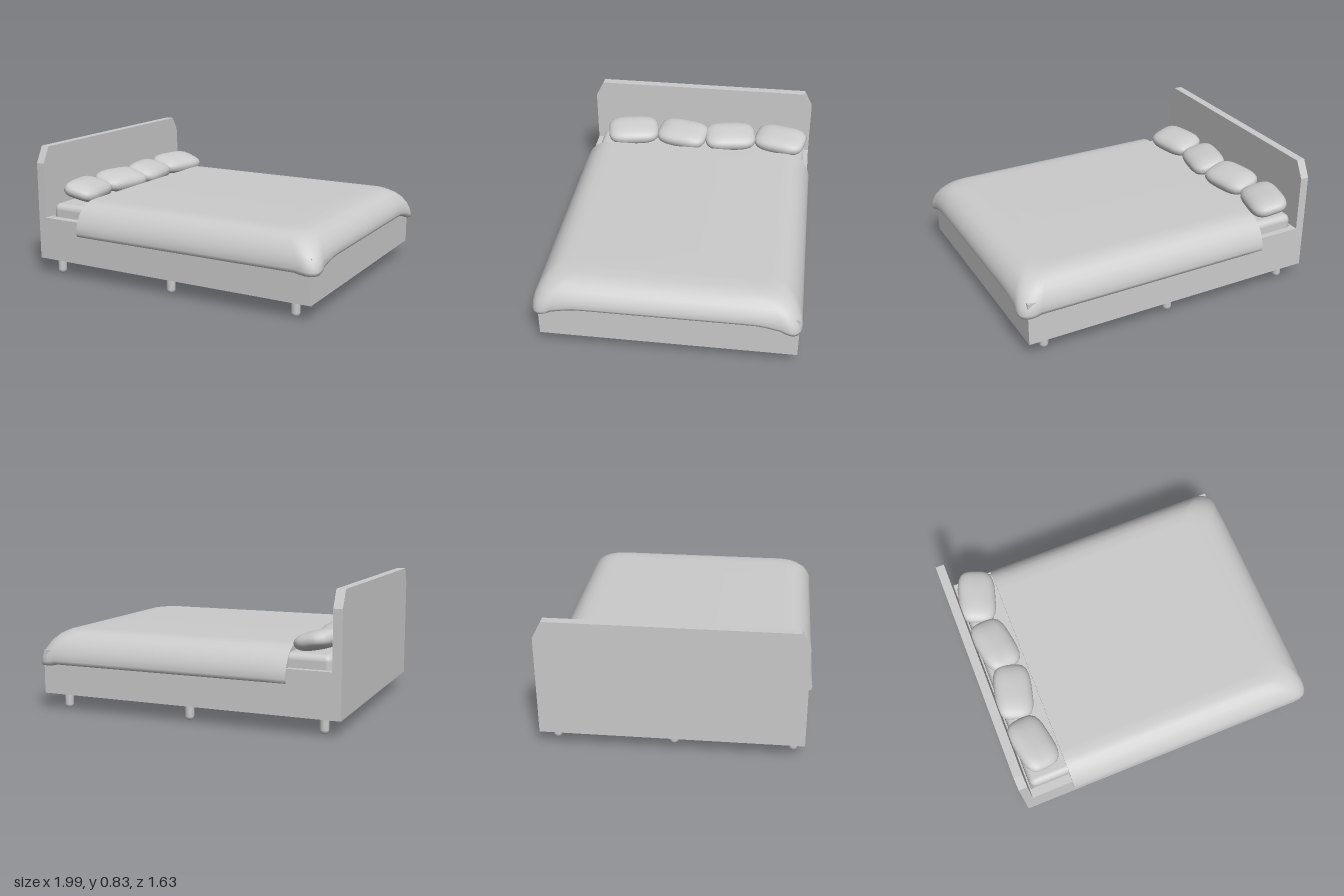
import * as THREE from 'three';
import { mergeVertices } from 'three/addons/utils/BufferGeometryUtils.js';
import { RoundedBoxGeometry } from 'three/addons/geometries/RoundedBoxGeometry.js';

const material = new THREE.MeshStandardMaterial({ color: 0xcccccc, side: THREE.DoubleSide });
const Z0 = -0.01; // centre line of the frame
const HALF = 0.787; // half width of the frame

function add(parent, name, geometry, x = 0, y = 0, z = 0) {
  const mesh = new THREE.Mesh(geometry, material);
  mesh.name = name;
  mesh.position.set(x, y, z);
  parent.add(mesh);
  return mesh;
}

// Panel across the head end, with its two top corners cut off
function headboardGeometry() {
  const shape = new THREE.Shape([
    [-HALF, 0.1], [HALF, 0.1], [HALF, 0.73], [HALF - 0.055, 0.835], [-HALF + 0.055, 0.835], [-HALF, 0.73],
  ].map(([z, y]) => new THREE.Vector2(z, y)));
  const geometry = new THREE.ExtrudeGeometry(shape, { depth: 0.055, bevelEnabled: false });
  return geometry.rotateY(Math.PI / 2);
}

// Four rails round an open middle
function railsGeometry() {
  const rect = (x0, x1, w) => [[x0, -w], [x1, -w], [x1, w], [x0, w]].map(([x, z]) => new THREE.Vector2(x, z));
  const shape = new THREE.Shape(rect(-0.945, 0.94, HALF));
  shape.holes.push(new THREE.Path(rect(-0.935, 0.885, HALF - 0.055)));
  const geometry = new THREE.ExtrudeGeometry(shape, { depth: 0.275, bevelEnabled: false });
  return geometry.rotateX(-Math.PI / 2);
}

// Cushion: a sphere squared off in plan, thinning towards its edge
function pillowGeometry(hx, hy, hz) {
  const sphere = new THREE.SphereGeometry(1, 32, 20);
  sphere.deleteAttribute('uv');
  sphere.deleteAttribute('normal');
  const geometry = mergeVertices(sphere);
  const p = geometry.attributes.position;
  for (let i = 0; i < p.count; i++) {
    const y = p.getY(i);
    const angle = Math.atan2(p.getZ(i), p.getX(i));
    const c = Math.cos(angle), s = Math.sin(angle);
    const square = (Math.abs(c) ** 3.6 + Math.abs(s) ** 3.6) ** (-1 / 3.6);
    const reach = Math.hypot(p.getX(i), p.getZ(i)) ** 0.75 * square;
    p.setXYZ(i, c * reach * hx, Math.sign(y) * Math.abs(y) ** 0.85 * hy, s * reach * hz);
  }
  geometry.computeVertexNormals();
  return geometry;
}

const HEAD = -0.675, FOOT = 0.98, WIDE = 0.812, CORNER = 0.12;

// U-shaped line round the two sides and the foot, at a given inset
function duvetPath(inset) {
  const w = WIDE - inset, x1 = FOOT - inset - CORNER;
  const half = [];
  for (let i = 0; i < 12; i++) half.push([HEAD + (x1 - HEAD) * i / 12, w, 0]);
  for (let i = 0; i <= 8; i++) {
    const a = Math.PI / 2 * i / 8;
    half.push([x1 + CORNER * Math.sin(a), w - CORNER + CORNER * Math.cos(a), Math.sin(2 * a)]);
  }
  for (let i = 1; i < 10; i++) half.push([FOOT - inset, (w - CORNER) * (1 - i / 10), 0]);
  const mirrored = half.map(([x, z, c]) => [x, -z, c]).reverse();
  return [...half, [FOOT - inset, 0, 0], ...mirrored];
}

// Height of the hem: low on the sides, lowest at the corners, raised along the foot
function hemHeight(x, z, corner) {
  const foot = THREE.MathUtils.smoothstep(x, 0.8, 0.94);
  const middle = 1 - THREE.MathUtils.smoothstep(Math.abs(z), 0.52, 0.8);
  return 0.285 + 0.045 * foot * middle - 0.015 * corner;
}

// Rings from the tucked underside, round the hem, up to the flat top
function duvetGeometries() {
  const profile = [ // inset, height from hem (0) to top (1)
    [0.08, 0.12], [0.045, 0.03], [0.022, 0], [0.006, 0.03], [0, 0.13], [0.005, 0.3],
    [0.018, 0.48], [0.042, 0.67], [0.075, 0.83], [0.115, 0.94], [0.16, 0.985], [0.22, 1],
  ];
  const positions = [], index = [], contour = [];
  let n = 0;
  profile.forEach(([inset, t]) => {
    const path = duvetPath(inset);
    n = path.length;
    path.forEach(([x, z, corner]) => {
      const hem = hemHeight(x, z, corner);
      const flare = 0.025 * corner * (1 - t);
      positions.push(x + flare, hem + (0.5 - hem) * t, z + Math.sign(z) * flare * 0.6);
    });
  });
  for (let k = 0; k < profile.length - 1; k++) {
    for (let i = 0; i < n - 1; i++) {
      const a = k * n + i, b = a + 1, c = a + n, d = c + 1;
      index.push(a, b, c, b, d, c);
    }
  }
  const top = (profile.length - 1) * n;
  for (let i = 0; i < (n - 1) / 2; i++) {
    const a = top + i, b = a + 1, c = top + n - 1 - i, d = c - 1;
    index.push(a, b, c);
    if (b !== d) index.push(b, d, c);
  }
  const cover = new THREE.BufferGeometry();
  cover.setAttribute('position', new THREE.Float32BufferAttribute(positions, 3));
  cover.setIndex(index);
  cover.computeVertexNormals();

  // Flat edge at the head end, following the same profile
  const hem = hemHeight(HEAD, WIDE, 0);
  profile.forEach(([inset, t]) => contour.push(new THREE.Vector2(WIDE - inset, hem + (0.5 - hem) * t)));
  const other = contour.map((v) => new THREE.Vector2(-v.x, v.y)).reverse();
  const edge = new THREE.ShapeGeometry(new THREE.Shape([...contour, ...other])).rotateY(-Math.PI / 2);
  return { cover, edge };
}

export function createModel() {
  const model = new THREE.Group();
  model.name = 'bed';

  // Frame
  add(model, 'headboard', headboardGeometry(), -1, 0, Z0);
  add(model, 'frameRails', railsGeometry(), 0, 0.1, Z0);
  add(model, 'frameFloor', new THREE.BoxGeometry(1.82, 0.1, 2 * HALF - 0.11), -0.025, 0.15, Z0);

  // Nine short feet with rounded ends
  const legProfile = [[0, 0], [0.016, 0.002], [0.025, 0.011], [0.028, 0.024], [0.028, 0.1]]
    .map(([x, y]) => new THREE.Vector2(x, y));
  const legGeometry = new THREE.LatheGeometry(legProfile, 16);
  for (const x of [-0.88, -0.032, 0.815]) {
    for (const z of [-0.715, -0.003, 0.71]) add(model, 'leg', legGeometry, x, 0, z);
  }

  // Bedding
  add(model, 'mattress', new RoundedBoxGeometry(1.8, 0.26, 1.48, 4, 0.04), -0.03, 0.33, -0.018);
  const duvet = new THREE.Group();
  duvet.name = 'duvet';
  const { cover, edge } = duvetGeometries();
  add(duvet, 'duvetCover', cover);
  add(duvet, 'duvetHeadEdge', edge, HEAD);
  model.add(duvet);

  // Pillows leaning on the headboard, turned alternately
  const pillow = pillowGeometry(0.122, 0.058, 0.182);
  [[-0.59, -0.26], [-0.225, 0.16], [0.12, -0.22], [0.485, 0.18]].forEach(([z, yaw]) => {
    const mesh = add(model, 'pillow', pillow, -0.822, 0.525, z);
    mesh.rotation.set(0, yaw, -0.24);
  });
  return model;
}
